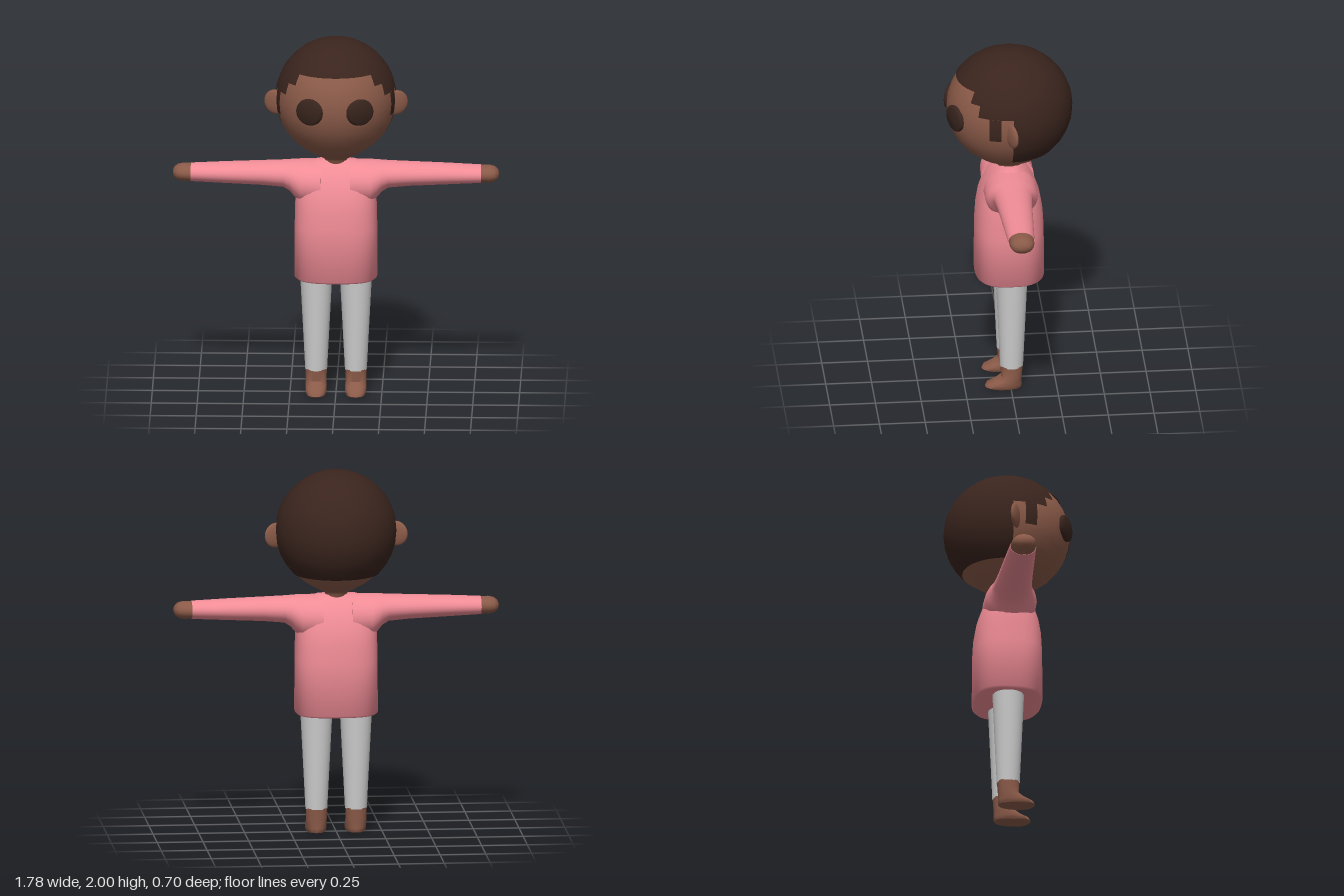
import * as THREE from 'three';
import { mergeGeometries, toCreasedNormals } from 'three/addons/utils/BufferGeometryUtils.js';

const material = (color, side = THREE.FrontSide) => new THREE.MeshStandardMaterial({ color, side });
const skin = material(0x8a5a48);
const hairColor = material(0x3a241d, THREE.DoubleSide);
const eyeColor = material(0x38241d);
const pink = material(0xf08c96);
const grey = material(0xcccccc);

// Closed loft along y. Ring: [y, centreX, centreZ, radiusX, radiusZ]; power 2 is an ellipse, more is boxier.
function loft(rings, power = 2, sides = 24) {
  const pos = [], index = [];
  const curve = (v) => Math.sign(v) * Math.abs(v) ** (2 / power);
  for (const [y, cx, cz, rx, rz] of rings) {
    for (let j = 0; j < sides; j++) {
      const t = (j / sides) * Math.PI * 2;
      pos.push(cx + rx * curve(Math.cos(t)), y, cz + rz * curve(Math.sin(t)));
    }
  }
  const last = rings.length - 1, bottom = rings.length * sides, top = bottom + 1;
  for (const r of [rings[0], rings[last]]) pos.push(r[1], r[0], r[2]);
  for (let j = 0; j < sides; j++) {
    const k = (j + 1) % sides;
    for (let i = 0; i < last; i++) {
      const a = i * sides + j, b = i * sides + k, c = a + sides, d = b + sides;
      index.push(a, c, b, b, c, d);
    }
    index.push(bottom, j, k, top, last * sides + k, last * sides + j);
  }
  const geo = new THREE.BufferGeometry();
  geo.setAttribute('position', new THREE.Float32BufferAttribute(pos, 3));
  geo.setIndex(index);
  return toCreasedNormals(geo, 0.9);
}

function add(parent, name, geometry, mat) {
  const mesh = new THREE.Mesh(geometry, mat);
  mesh.name = name;
  parent.add(mesh);
  return mesh;
}

const HEAD_Y = 1.667;

function createHead() {
  const head = new THREE.Group();
  head.name = 'head';
  head.position.y = HEAD_Y;

  // Round skull that narrows to the neck
  const profile = [[0.055, -0.40], [0.06, -0.345], [0.085, -0.33], [0.165, -0.285]]
    .map(([x, y]) => new THREE.Vector2(x, y));
  for (let i = 4; i <= 16; i++) {
    const a = (-90 + i * 11.25) * Math.PI / 180;
    profile.push(new THREE.Vector2(Math.max(0, 0.326 * Math.cos(a)), 0.328 * Math.sin(a)));
  }
  add(head, 'skull', new THREE.LatheGeometry(profile, 32).scale(1, 1, 1.045), skin);

  // Stepped hair shell on a 32 x 16 grid: [from row, to row, from column, to column], columns counted from the face
  const patches = [
    [0, 5, 0, 32], [5, 6, 4, 28], [6, 7, 5, 27],
    [7, 9, 6, 7], [7, 9, 25, 26], [7, 12, 8, 24],
  ];
  const step = Math.PI / 16;
  const shell = patches.map(([r0, r1, c0, c1]) => new THREE.SphereGeometry(
    0.333, c1 - c0, r1 - r0, Math.PI / 2 + c0 * step, (c1 - c0) * step, r0 * step, (r1 - r0) * step));
  add(head, 'hair', mergeGeometries(shell).scale(0.99, 1, 1.042), hairColor);

  // Eyes are round-edged discs, ears are flattened ovals
  const disc = [[0, -0.04], [0.072, -0.04], [0.08, -0.008], [0.077, 0.003], [0.068, 0.008], [0, 0.012]]
    .map(([x, y]) => new THREE.Vector2(x, y));
  const eyeGeo = toCreasedNormals(new THREE.LatheGeometry(disc, 24), 0.9)
    .rotateX(Math.PI / 2).scale(1, 0.93, 1);
  const earGeo = new THREE.SphereGeometry(1, 20, 14).scale(0.07, 0.069, 0.02);
  for (const s of [1, -1]) {
    const eye = add(head, s > 0 ? 'leftEye' : 'rightEye', eyeGeo, eyeColor);
    eye.position.set(s * 0.14, 0, 0.311);
    eye.rotation.y = s * 0.46;
    const ear = add(head, s > 0 ? 'leftEar' : 'rightEar', earGeo, skin);
    ear.position.set(s * 0.327, -0.025, 0.012);
    ear.rotation.y = s * 0.42;
  }
  return head;
}

function createLimbs(side) {
  const limbs = new THREE.Group();
  limbs.name = side > 0 ? 'leftLimbs' : 'rightLimbs';

  // Arm sections: [distance, bottom, top, half depth]
  const alongX = (sections) => {
    const geo = loft(sections.map(([x, lo, hi, rz]) => [x, -(lo + hi) / 2, 0, (hi - lo) / 2, rz]));
    geo.rotateZ(-Math.PI / 2);
    return side > 0 ? geo : geo.rotateY(Math.PI);
  };
  add(limbs, 'sleeve', alongX([
    [0.08, 1.06, 1.314, 0.145], [0.19, 1.075, 1.313, 0.142], [0.225, 1.11, 1.312, 0.13],
    [0.25, 1.14, 1.31, 0.115], [0.285, 1.162, 1.308, 0.104], [0.4, 1.172, 1.304, 0.094],
    [0.6, 1.181, 1.297, 0.083], [0.79, 1.19, 1.288, 0.072],
  ]), pink);
  add(limbs, 'hand', alongX([
    [0.78, 1.191, 1.287, 0.07], [0.835, 1.191, 1.287, 0.067], [0.862, 1.197, 1.281, 0.06],
    [0.88, 1.211, 1.267, 0.043], [0.888, 1.228, 1.25, 0.018],
  ]), skin);

  // Tapered trouser leg and wedge-shaped foot
  const x = side * 0.108;
  add(limbs, 'leg', loft([[0.13, x, -0.006, 0.06, 0.063], [0.69, x, -0.006, 0.089, 0.088]]), grey);
  add(limbs, 'foot', loft([
    [0.0, x, 0.035, 0.05, 0.092], [0.008, x, 0.039, 0.056, 0.101], [0.025, x, 0.035, 0.058, 0.096],
    [0.045, x, 0.012, 0.058, 0.073], [0.07, x, -0.005, 0.057, 0.057], [0.135, x, -0.006, 0.058, 0.061],
  ], 2.3), skin);
  return limbs;
}

export function createModel() {
  const model = new THREE.Group();
  model.name = 'character';

  // Sweater body, boxy at the hem and rounding in at the shoulders
  add(model, 'sweater', loft([
    [0.658, 0, 0, 0.215, 0.18], [0.668, 0, 0, 0.226, 0.189], [0.95, 0, 0, 0.225, 0.187],
    [1.05, 0, 0, 0.223, 0.181], [1.13, 0, 0, 0.22, 0.167], [1.2, 0, 0, 0.21, 0.142],
    [1.26, 0, 0, 0.19, 0.108], [1.3, 0, 0, 0.16, 0.07], [1.317, 0, 0, 0.11, 0.04],
  ], 2.8, 40), pink);

  model.add(createHead(), createLimbs(1), createLimbs(-1));
  return model;
}
